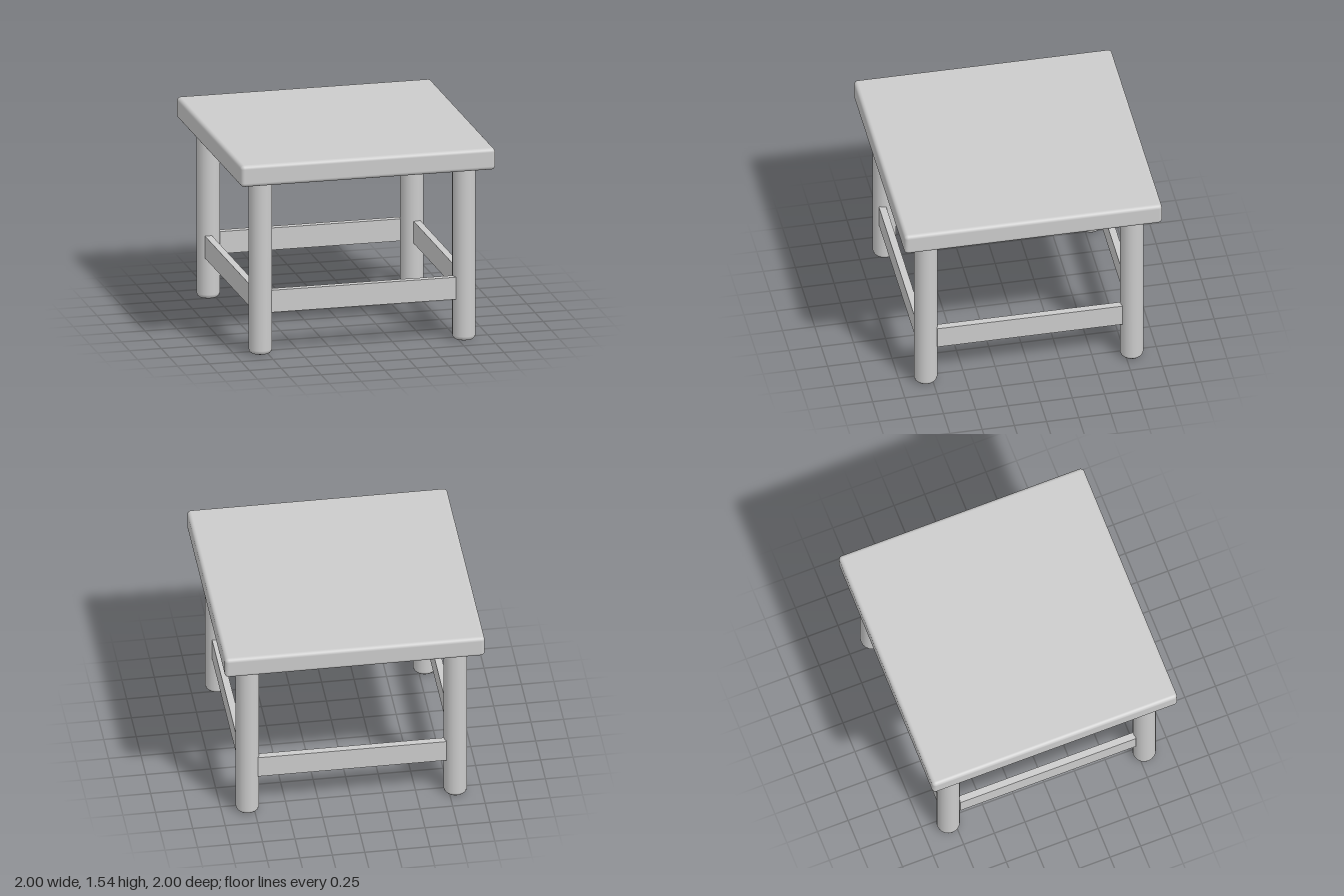
import * as THREE from 'three';
import { RoundedBoxGeometry } from 'three/addons/geometries/RoundedBoxGeometry.js';

export function createModel() {
  const group = new THREE.Group();
  const material = new THREE.MeshStandardMaterial({ color: 0xcccccc });
  const add = (geometry, name, x, y, z) => {
    const mesh = new THREE.Mesh(geometry, material);
    mesh.name = name;
    mesh.position.set(x, y, z);
    group.add(mesh);
  };

  // Square top with softened edges
  add(new RoundedBoxGeometry(2, 0.17, 2, 4, 0.03), 'tableTop', 0, 1.46, 0);

  // Round legs with rounded feet, reaching just into the top
  const profile = [[0, 0], [0.055, 0], [0.073, 0.006], [0.085, 0.018], [0.09, 0.036], [0.09, 1.4]]
    .map(([r, y]) => new THREE.Vector2(r, y));
  const legGeometry = new THREE.LatheGeometry(profile, 20);
  for (const x of [-0.8, 0.8]) {
    for (const z of [-0.8, 0.8]) {
      add(legGeometry, `${z > 0 ? 'front' : 'back'}${x > 0 ? 'Left' : 'Right'}Leg`, x, 0, z);
    }
  }

  // Flat stretchers between the legs, set towards the outside
  const height = 0.175, thickness = 0.055, y = 0.418;
  const longRail = new THREE.BoxGeometry(1.45, height, thickness);
  const sideRail = new THREE.BoxGeometry(thickness, height, 1.435);
  for (const s of [-1, 1]) {
    add(longRail, s > 0 ? 'frontStretcher' : 'backStretcher', 0, y, s * 0.83);
    add(sideRail, s > 0 ? 'leftStretcher' : 'rightStretcher', s * 0.82, y, 0);
  }
  return group;
}
